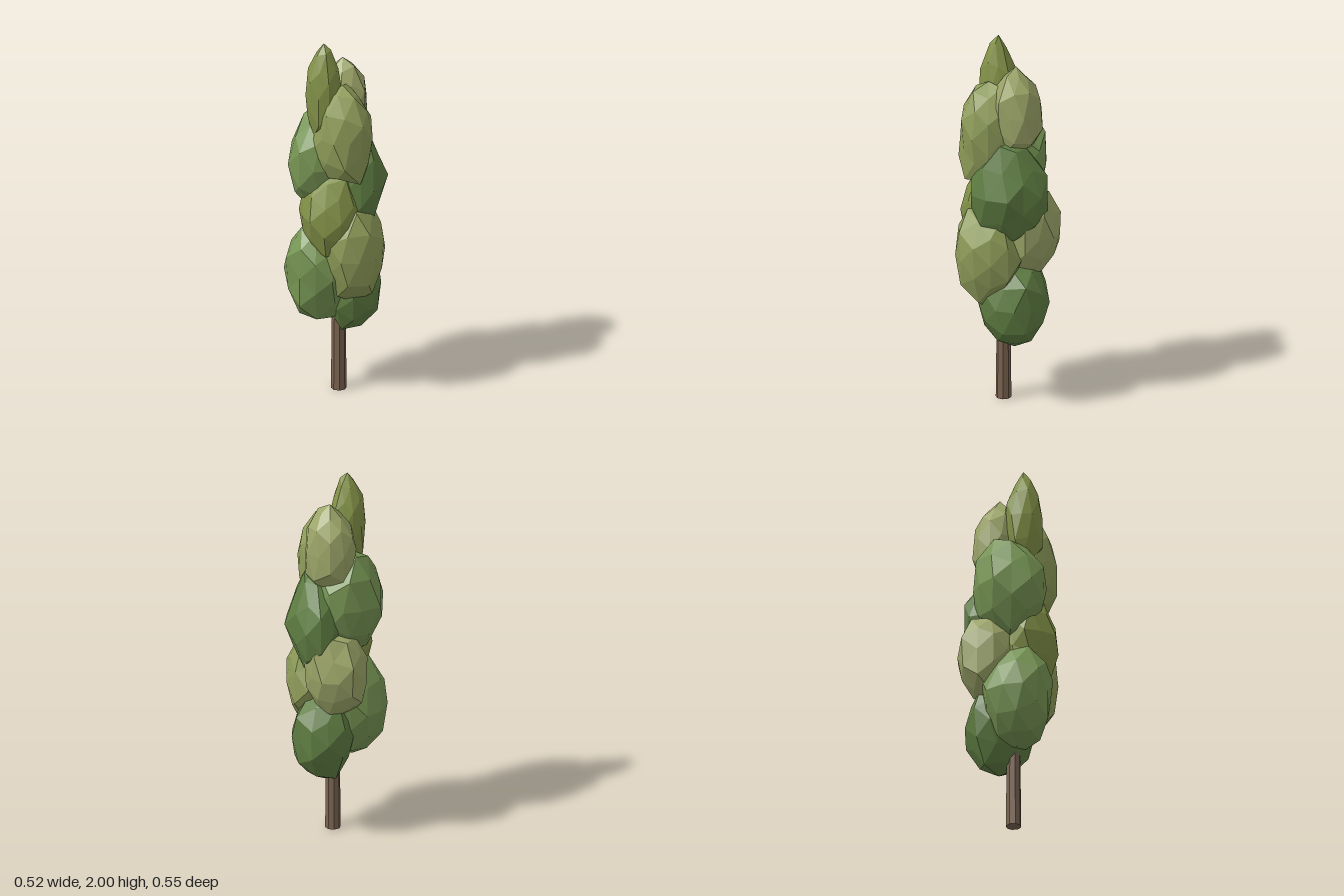
import * as THREE from 'three';

// Repeatable pseudo-random value in 0..1 for a direction and a seed
function hash(v, seed) {
  const s = Math.sin(Math.round(v.x * 100) * 12.99 + Math.round(v.y * 100) * 78.23
    + Math.round(v.z * 100) * 37.72 + seed * 9.17) * 43758.5453;
  return s - Math.floor(s);
}

// Faceted, irregular clump fitted to a centre and half-sizes.
// top and bottom taper the ends (negative is blunter), skew stretches it along one diagonal
function clump({ at, size, top, bottom, skew = 0, color }, seed) {
  const geo = new THREE.IcosahedronGeometry(1, 1);
  geo.rotateY(seed * 2.4);
  const pos = geo.attributes.position;
  const v = new THREE.Vector3();
  for (let i = 0; i < pos.count; i++) {
    v.fromBufferAttribute(pos, i);
    v.multiplyScalar(0.88 + 0.19 * hash(v, seed));
    const width = 1 - (v.y > 0 ? top : bottom) * v.y * v.y;
    pos.setXYZ(i, (v.x - skew * v.z) * width, v.y, (v.z - skew * v.x) * width);
  }
  geo.center();
  const box = geo.boundingBox.getSize(new THREE.Vector3());
  geo.scale(2 * size[0] / box.x, 2 * size[1] / box.y, 2 * size[2] / box.z);
  geo.computeVertexNormals();
  const mesh = new THREE.Mesh(geo, new THREE.MeshStandardMaterial({ color, flatShading: true }));
  mesh.position.set(...at);
  return mesh;
}

export function createModel() {
  const tree = new THREE.Group();
  tree.name = 'tree';

  // Trunk, running up into the crown
  const trunk = new THREE.Mesh(
    new THREE.CylinderGeometry(0.032, 0.041, 0.8, 8),
    new THREE.MeshStandardMaterial({ color: 0x7a6350, flatShading: true }));
  trunk.position.set(-0.013, 0.4, 0.002);
  trunk.name = 'trunk';
  tree.add(trunk);

  // Foliage clumps spiralling upwards
  const dark = 0x5f7d42, mid = 0x769453, light = 0x8e9c59, khaki = 0x9ca568, olive = 0x829147;
  const clumps = [
    { at: [0.078, 0.57, 0.002], size: [0.168, 0.26, 0.175], top: -0.25, bottom: 0, skew: 0.04, color: dark },
    { at: [-0.073, 0.705, -0.07], size: [0.188, 0.29, 0.18], top: 0.25, bottom: 0, color: mid },
    { at: [-0.015, 0.81, 0.1], size: [0.182, 0.285, 0.173], top: -0.1, bottom: 0, color: light },
    { at: [0.09, 0.93, -0.09], size: [0.16, 0.245, 0.16], top: -0.1, bottom: 0.1, color: khaki },
    { at: [-0.1, 1.055, 0.02], size: [0.163, 0.255, 0.16], top: 0, bottom: -0.5, color: olive },
    { at: [0.085, 1.19, 0.045], size: [0.176, 0.295, 0.185], top: 0.4, bottom: 0.2, skew: 0.18, color: dark },
    { at: [-0.045, 1.305, -0.1], size: [0.203, 0.287, 0.172], top: 0.15, bottom: 0.3, color: mid },
    { at: [-0.05, 1.505, 0.07], size: [0.152, 0.27, 0.157], top: 0.1, bottom: -0.5, color: light },
    { at: [0.06, 1.605, -0.028], size: [0.127, 0.265, 0.135], top: 0.25, bottom: -0.25, color: khaki },
    { at: [-0.095, 1.73, -0.032], size: [0.097, 0.27, 0.098], top: 0.4, bottom: -0.2, color: olive },
  ];
  const foliage = new THREE.Group();
  foliage.name = 'foliage';
  clumps.forEach((spec, i) => {
    const mesh = clump(spec, i + 1);
    mesh.name = 'foliageClump' + (i + 1);
    foliage.add(mesh);
  });
  tree.add(foliage);
  return tree;
}
